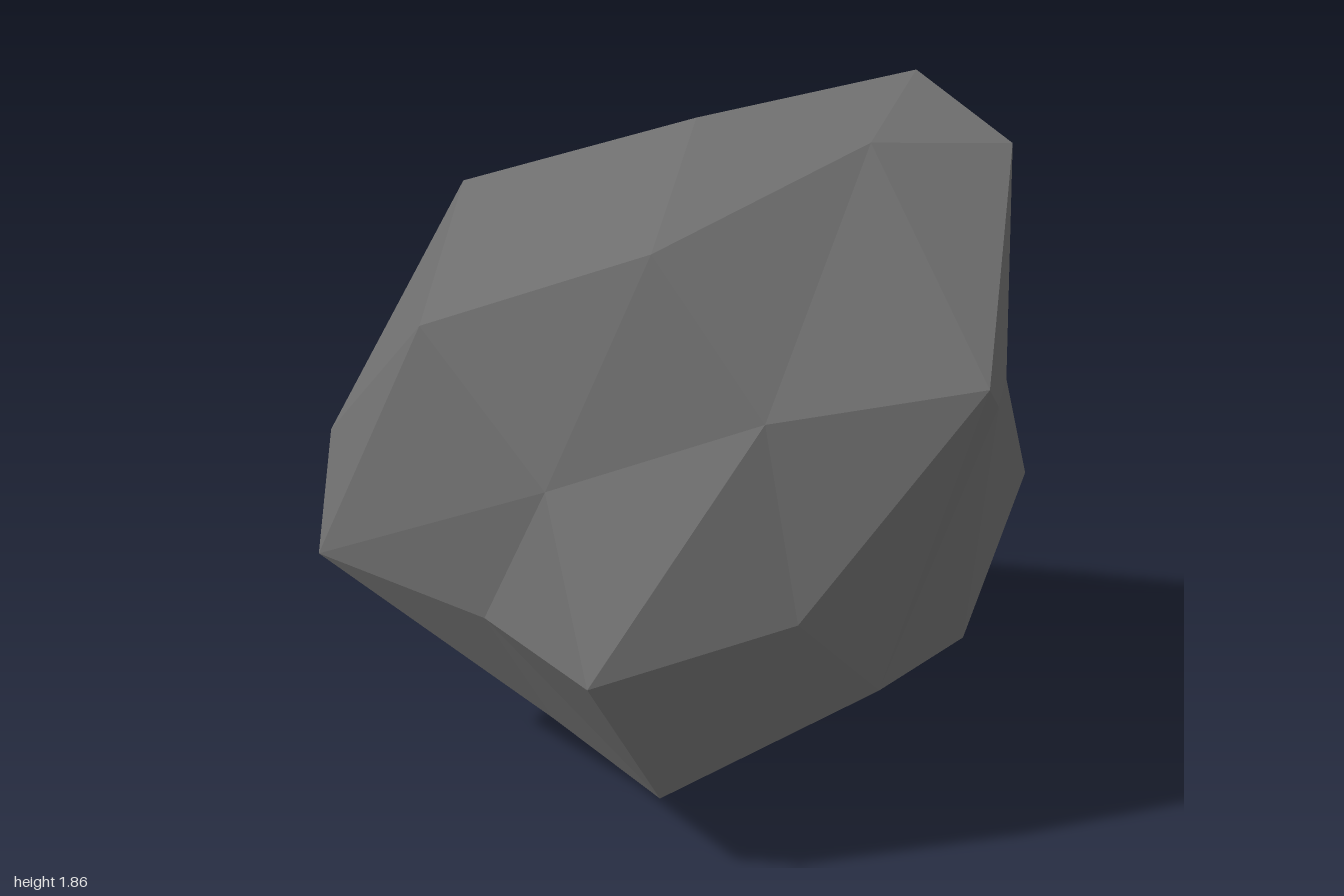
import * as THREE from 'three';
import { ConvexGeometry } from 'three/addons/geometries/ConvexGeometry.js';

// Corners of the boulder, in bands from top to bottom: [x, y, z]
const crown = [
  [0.47, 1.86, 0.075], [0.6, 1.755, 0.36], [-0.06, 1.78, 0.06], [0.275, 1.77, 0.32],
  [0.285, 1.69, -0.25], [-0.55, 1.535, -0.37], [-0.24, 1.565, 0.35],
];
const shoulder = [
  [-0.72, 1.3, -0.02], [-0.045, 1.235, 0.59], [0.425, 1.32, 0.72], [-0.495, 1.0, 0.33],
  [0.595, 1.115, 0.395], [0.73, 1.06, 0.13], [0.725, 1.11, -0.19], [0.14, 1.18, -0.59],
];
const waist = [
  [-0.93, 0.895, -0.37], [-1, 0.65, -0.16], [-0.635, 0.61, 0.2], [-0.47, 0.65, 0.64],
  [0.01, 0.77, 0.685], [0.24, 0.51, 0.61], [1, 0.555, -0.29], [0.88, 0.755, -0.345],
  [0.7, 0.85, -0.49], [0.85, 0.53, -0.55], [0.53, 0.505, -0.72], [0.11, 0.805, -0.7],
  [-0.61, 0.886, -0.61], [-0.59, 0.52, -0.5], [-0.14, 0.465, -0.58],
];
const foot = [
  [-0.47, 0.265, 0.16], [-0.28, 0.24, 0.53], [0.635, 0.34, 0.18], [0.83, 0.15, -0.405],
  [0.28, 0.215, -0.61], [-0.11, 0.265, -0.56], [-0.455, 0.255, -0.31],
  [0.285, 0.065, 0], [-0.035, 0.04, -0.03], [-0.035, 0.02, -0.44], [0.34, 0, -0.39],
];

// Join the corners over a sphere of their directions, then move each one out to its place
function facetedStone(corners) {
  const points = corners.map((c) => new THREE.Vector3(...c));
  const directions = points.map((p) =>
    new THREE.Vector3(p.x, (p.y - 0.9) / 0.93, p.z / 0.75).normalize());
  const geometry = new ConvexGeometry(directions);
  const position = geometry.attributes.position;
  const v = new THREE.Vector3();
  for (let i = 0; i < position.count; i++) {
    v.fromBufferAttribute(position, i);
    let best = 0;
    directions.forEach((d, j) => {
      if (d.distanceToSquared(v) < directions[best].distanceToSquared(v)) best = j;
    });
    position.setXYZ(i, points[best].x, points[best].y, points[best].z);
  }
  geometry.computeVertexNormals();
  return geometry;
}

export function createModel() {
  const stone = new THREE.MeshStandardMaterial({ color: 0x6e6e6e, flatShading: true });
  stone.name = 'stone grey';

  const boulder = new THREE.Mesh(facetedStone([...crown, ...shoulder, ...waist, ...foot]), stone);
  boulder.name = 'boulder';

  const model = new THREE.Group();
  model.name = 'rock';
  model.add(boulder);
  return model;
}
